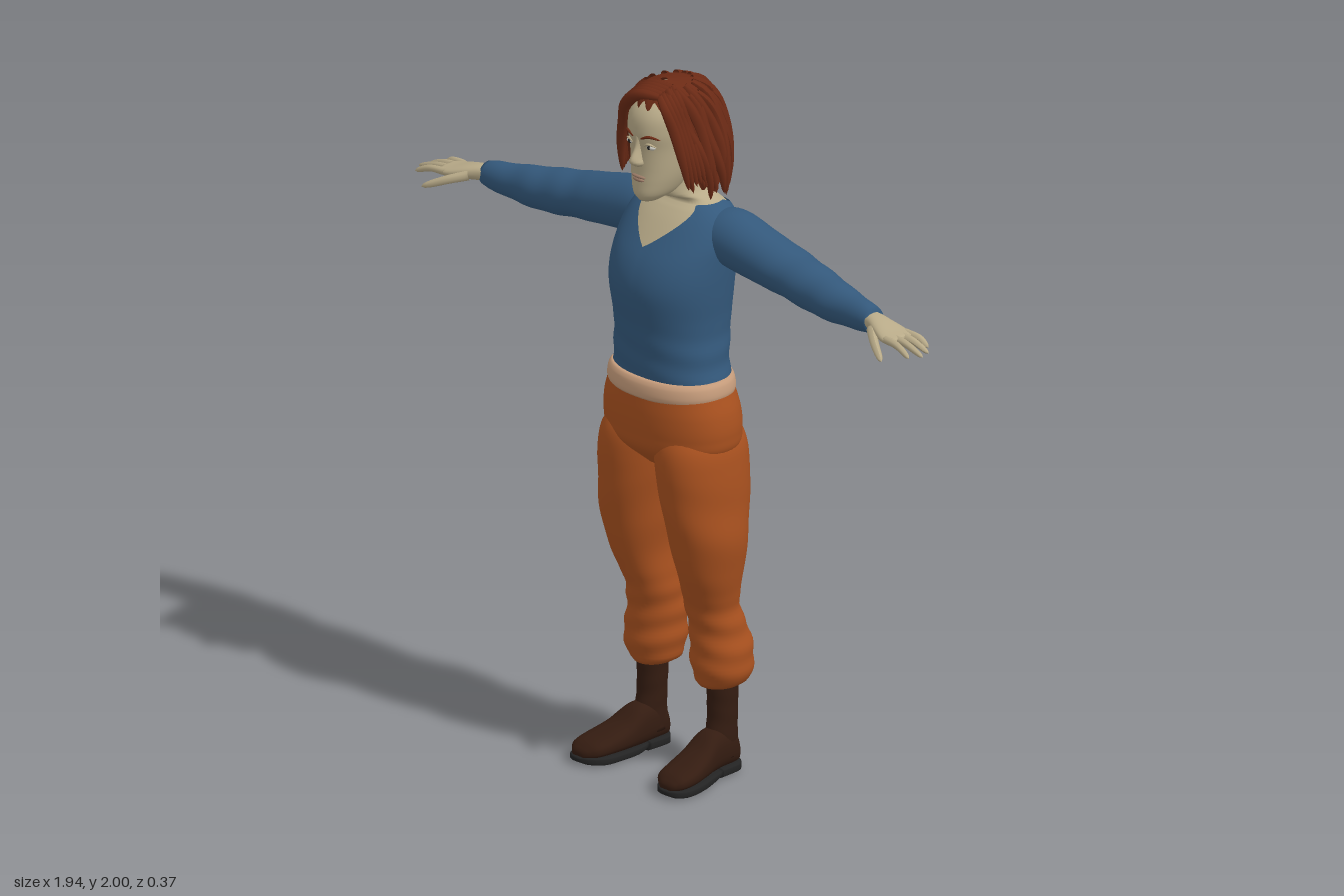
import * as THREE from 'three';

const lerp = THREE.MathUtils.lerp, smooth = THREE.MathUtils.smoothstep;
const mat = (color, side = THREE.FrontSide) => new THREE.MeshStandardMaterial({ color, side, roughness: 0.9 });

// Smoothly interpolated extents [a0, a1, b0, b1] of a list of sections [t, a0, a1, b0, b1]
function section(S, t) {
  let i = 0;
  while (i < S.length - 2 && t > S[i + 1][0]) i++;
  const h = S[i + 1][0] - S[i][0], u = THREE.MathUtils.clamp((t - S[i][0]) / h, 0, 1);
  const slope = (j, k) => {
    const p = S[Math.max(j - 1, 0)], q = S[Math.min(j + 1, S.length - 1)];
    return (q[k] - p[k]) / (q[0] - p[0]);
  };
  return [1, 2, 3, 4].map(k => {
    const u2 = u * u, u3 = u2 * u;
    return (2 * u3 - 3 * u2 + 1) * S[i][k] + (u3 - 2 * u2 + u) * h * slope(i, k)
      + (3 * u2 - 2 * u3) * S[i + 1][k] + (u3 - u2) * h * slope(i + 1, k);
  });
}

// Point on a lofted surface at angle a and height t
function onLoft(S, a, t, p = 1, m = 1) {
  const [a0, a1, b0, b1] = section(S, t), s = Math.sin(a), c = Math.cos(a);
  return [(a0 + a1) / 2 + m * (a1 - a0) / 2 * Math.sign(s) * Math.abs(s) ** p, t,
    (b0 + b1) / 2 + m * (b1 - b0) / 2 * Math.sign(c) * Math.abs(c) ** p];
}

// Loft along an axis: y sections give x,z extents; x sections give z,y; z sections give y,x
function loft(S, { axis = 'y', seg = 40, rows = 40, lo, hi, p = 1, mod = () => 1, cap = true } = {}) {
  const pos = [], idx = [], first = S[0][0], last = S[S.length - 1][0], e = cap ? 1 : 0;
  for (let i = -e; i <= rows + e; i++) for (let j = 0; j < seg; j++) {
    const a = j / seg * Math.PI * 2, v = THREE.MathUtils.clamp(i / rows, 0, 1);
    const t = lerp(lo ? lo(a) : first, hi ? hi(a) : last, v);
    const [A, T, B] = onLoft(S, a, t, p, i < 0 || i > rows ? 0 : mod(a, t));
    pos.push(...(axis === 'y' ? [A, T, B] : axis === 'x' ? [T, B, A] : [B, A, T]));
  }
  for (let i = 0; i < rows + 2 * e; i++) for (let j = 0; j < seg; j++) {
    const k = (j + 1) % seg, q = i * seg, r = q + seg;
    idx.push(q + j, q + k, r + k, q + j, r + k, r + j);
  }
  const g = new THREE.BufferGeometry();
  g.setAttribute('position', new THREE.Float32BufferAttribute(pos, 3));
  g.setIndex(idx);
  g.computeVertexNormals();
  return g;
}

// Tube whose radius follows a taper rule
function strand(pts, r, taper, n = 14) {
  const path = new THREE.CatmullRomCurve3(pts.map(q => new THREE.Vector3(...q)));
  const g = new THREE.TubeGeometry(path, n, r, 8), P = g.attributes.position, v = new THREE.Vector3();
  for (let i = 0; i < P.count; i++) {
    const u = Math.floor(i / 9) / n, c = path.getPointAt(u);
    v.fromBufferAttribute(P, i).sub(c).multiplyScalar(taper(u)).add(c);
    P.setXYZ(i, v.x, v.y, v.z);
  }
  g.computeVertexNormals();
  return g;
}
const fingerTaper = u => (1 - 0.3 * u) * Math.sqrt(Math.max(0, 1 - u ** 8));
const lockTaper = u => Math.sqrt(Math.max(0, Math.sin(Math.PI * Math.min(1, 0.08 + u * 0.92)))) * (1 - 0.2 * u);

function mirrored(geo) {
  const g = geo.clone().scale(-1, 1, 1), ix = g.index.array;
  for (let i = 0; i < ix.length; i += 3) [ix[i], ix[i + 1]] = [ix[i + 1], ix[i]];
  return g;
}

const torso = [[1.15, -.178, .178, -.133, .12], [1.2, -.17, .17, -.135, .125], [1.3, -.163, .163, -.15, .135],
  [1.4, -.172, .172, -.16, .15], [1.45, -.176, .176, -.163, .145], [1.5, -.178, .178, -.165, .125],
  [1.55, -.178, .178, -.163, .09], [1.6, -.165, .165, -.158, .05], [1.63, -.14, .14, -.147, .02], [1.648, -.1, .1, -.13, 0]];
const hairS = [[1.67, -.165, .142, -.162, .04], [1.73, -.165, .145, -.172, .065], [1.8, -.148, .136, -.175, .09],
  [1.88, -.118, .112, -.165, .115], [1.94, -.098, .096, -.135, .118], [1.975, -.07, .072, -.09, .1],
  [1.992, -.04, .045, -.04, .075], [1.997, -.008, .012, .015, .035]];

export function createModel() {
  const model = new THREE.Group();
  const skin = mat(0xb9ab89), cloth = mat(0x34597c, THREE.DoubleSide), trouser = mat(0xa9511f), boot = mat(0x341c11),
    black = mat(0x232323), hair = mat(0x6b2a15, THREE.DoubleSide), white = mat(0xc9c8c0), lip = mat(0x9a7a66), band = mat(0xc79d7c);
  const add = (name, geo, m, parent = model) => {
    const mesh = new THREE.Mesh(geo, m);
    mesh.name = name;
    parent.add(mesh);
    return mesh;
  };
  const pair = (name, geo, m) => { add(name + 'Left', geo, m); add(name + 'Right', mirrored(geo), m); };
  const ball = (x, y, z, rx, ry, rz) => new THREE.SphereGeometry(1, 18, 12).scale(rx, ry, rz).translate(x, y, z);

  // Sweater with a V neckline
  const neckline = a => Math.cos(a) > 0 ? 1.53 + .113 * Math.min(1, Math.abs(Math.sin(a)) / .72)
    : 1.643 - .022 * smooth(-Math.cos(a), .3, 1);
  add('sweater', loft(torso, { seg: 72, p: .9, hi: neckline, cap: false,
    mod: (a, y) => 1 + .012 * Math.sin(y * 75 + 3 * Math.sin(a)) * smooth(1.36 - y, 0, .15) }), cloth);
  add('sweaterHem', loft([[1.145, -.17, .17, -.127, .115], [1.158, -.176, .176, -.132, .119]], { rows: 2, p: .9 }), cloth);

  // Upper chest and neck
  const chest = torso.slice(4).map(([t, a, b, c, d]) => [t, a + .007, b - .007, c + .007, d - .007]);
  add('chestAndNeck', loft([...chest, [1.665, -.068, .068, -.105, .035], [1.7, -.058, .058, -.088, .045],
    [1.78, -.056, .056, -.085, .045]], { seg: 56, p: .92 }), skin);

  // Sleeves
  const sleeve = [[.08, -.15, 0, 1.5, 1.62], [.17, -.16, .005, 1.475, 1.634], [.28, -.153, .005, 1.463, 1.612],
    [.4, -.15, 0, 1.45, 1.583], [.5, -.135, 0, 1.438, 1.565], [.57, -.12, 0, 1.436, 1.553],
    [.65, -.1, -.005, 1.441, 1.539], [.72, -.082, -.005, 1.45, 1.53], [.745, -.073, -.008, 1.456, 1.524]];
  pair('sleeve', loft(sleeve, { axis: 'x', rows: 60,
    mod: (a, x) => 1 + .018 * Math.sin(x * 55 + 2 * Math.sin(a)) * smooth(x, .25, .45) }), cloth);

  // Hands: palm, four fingers and thumb
  pair('palm', loft([[.715, -.064, -.012, 1.468, 1.512], [.75, -.064, -.005, 1.47, 1.514], [.79, -.066, .012, 1.467, 1.508],
    [.84, -.07, .028, 1.464, 1.495], [.875, -.06, .022, 1.466, 1.488]], { axis: 'x', seg: 24, rows: 16, p: .85 }), skin);
  const fingers = [[-.058, .93, -.062], [-.034, .96, -.034], [-.009, .97, -.002], [.016, .95, .031]];
  for (const [z0, x1, z1] of fingers)
    pair('finger', strand([[.845, 1.48, z0], [.9, 1.477, (z0 + z1) / 2], [x1, 1.458, z1]], .0115, fingerTaper), skin);
  pair('thumb', strand([[.775, 1.485, 0], [.82, 1.47, .035], [.855, 1.455, .056], [.885, 1.442, .072]], .0145, fingerTaper), skin);

  // Waistband, hips and trouser legs gathered below the knee
  add('waistband', loft([[1.105, -.188, .188, -.143, .134], [1.12, -.192, .192, -.147, .137], [1.148, -.187, .187, -.143, .133],
    [1.16, -.178, .178, -.135, .124]], { seg: 56, rows: 10, p: .9 }), band);
  add('hips', loft([[.89, -.1, .1, -.1, .06], [.95, -.198, .198, -.147, .122], [1, -.213, .213, -.155, .133],
    [1.06, -.208, .208, -.153, .136], [1.115, -.19, .19, -.143, .133]], { seg: 56, p: .9 }), trouser);
  const leg = [[.255, .075, .18, -.128, -.005], [.27, .055, .2, -.143, .004], [.33, .044, .212, -.155, .015],
    [.4, .042, .2, -.148, .013], [.46, .04, .19, -.125, .02], [.5, .04, .188, -.118, .032], [.6, .045, .212, -.12, .07],
    [.7, .032, .227, -.13, .1], [.8, .018, .222, -.145, .117], [.9, .004, .217, -.152, .128], [.97, .002, .205, -.147, .122],
    [1.03, .03, .17, -.12, .09]];
  pair('trouserLeg', loft(leg, { rows: 70, p: .93,
    mod: (a, y) => 1 + .035 * Math.sin(y * 85 + 1.6 * Math.sin(a)) * smooth(.56 - y, 0, .12)
      + .012 * Math.sin(y * 34 + 2 * a) * smooth(y, .5, .6) * smooth(.9 - y, 0, .1) }), trouser);

  // Boots with sole and heel
  pair('bootShaft', loft([[.05, .095, .175, -.108, -.005], [.11, .096, .176, -.108, -.012], [.17, .094, .176, -.106, -.022],
    [.3, .09, .178, -.112, -.018]], { seg: 32, rows: 24, mod: (a, y) => 1 + .012 * Math.sin(y * 110 + a) }), boot);
  pair('bootFoot', loft([[-.108, .02, .085, .11, .16], [-.09, .02, .12, .1, .172], [-.04, .02, .135, .094, .18],
    [0, .018, .13, .092, .187], [.05, .018, .098, .093, .202], [.11, .018, .075, .1, .216], [.16, .018, .06, .115, .213],
    [.183, .022, .042, .145, .192]], { axis: 'z', seg: 32, p: .8 }), boot);
  pair('sole', loft([[-.02, .012, .026, .1, .184], [.02, .002, .026, .093, .195], [.08, 0, .026, .094, .214],
    [.14, 0, .026, .102, .221], [.175, .004, .026, .128, .208], [.188, .01, .024, .15, .19]], { axis: 'z', seg: 32, rows: 20, p: .45 }), black);
  pair('heel', loft([[-.114, 0, .028, .115, .157], [-.095, 0, .028, .098, .174], [-.02, 0, .028, .098, .18]],
    { axis: 'z', seg: 32, rows: 12, p: .45 }), black);

  // Head and face
  add('head', loft([[1.667, -.025, .025, .04, .11], [1.685, -.046, .046, -.01, .122], [1.72, -.064, .064, -.05, .122],
    [1.76, -.076, .076, -.08, .12], [1.82, -.085, .085, -.11, .121], [1.87, -.09, .09, -.12, .128], [1.92, -.086, .086, -.115, .118],
    [1.96, -.06, .06, -.08, .08], [1.975, -.03, .03, -.04, .04]], { p: .9 }), skin);
  add('nose', loft([[1.772, -.012, .012, .1, .132], [1.782, -.019, .019, .1, .147], [1.793, -.015, .015, .1, .151],
    [1.825, -.009, .009, .1, .134], [1.86, -.011, .011, .1, .127]], { seg: 20, rows: 16 }), skin);
  add('upperLip', ball(0, 1.74, .119, .026, .005, .008), lip);
  add('lowerLip', ball(0, 1.731, .119, .021, .006, .008), lip);
  pair('eye', ball(.037, 1.832, .109, .0165, .0075, .011), white);
  pair('iris', ball(.037, 1.832, .115, .0065, .0068, .006), black);
  pair('upperLid', strand([[.017, 1.831, .117], [.037, 1.842, .119], [.058, 1.834, .107]], .004, lockTaper), skin);
  pair('eyebrow', strand([[.014, 1.855, .125], [.04, 1.864, .12], [.066, 1.856, .101]], .0045, lockTaper), hair);

  // Hair: wavy cap open over the face, side parted
  const hem = a => {
    const d = Math.abs(Math.atan2(Math.sin(a - .1), Math.cos(a - .1)));
    return lerp(1.945, 1.7, smooth(d, .5, 1)) + .012 * Math.sin(a * 17);
  };
  add('hairCap', loft(hairS, { seg: 120, rows: 36, lo: hem, cap: false,
    mod: (a, y) => .95 + .025 * Math.sin(24 * a + 14 * y) * smooth(1.99 - y, 0, .1) }), hair);

  // Layered locks lying on the cap
  const locks = new THREE.Group();
  locks.name = 'hairLocks';
  model.add(locks);
  const count = 34;
  for (let i = 0; i < count; i++) {
    const a = lerp(.92, Math.PI * 2 - .8, i / (count - 1)), end = 1.685 + .022 * Math.sin(i * 2.4), pts = [];
    for (let k = 0; k <= 6; k++) {
      const y = lerp(1.985 - .02 * (i % 3), end, (k / 6) ** 1.3);
      pts.push(onLoft(hairS, a + .09 * Math.sin(k * .9 + i * 1.7), y, 1, .93 + .02 * (i % 2)));
    }
    add('lock', strand(pts, .018, lockTaper, 18), hair, locks);
  }
  // Fringe swept from the parting
  for (let i = 0; i < 5; i++) {
    const d = i * .012;
    add('fringe', strand([[.045, 1.972 + d * .3, .085 - d], [-.01, 1.972 + d * .3, .106 - d], [-.06, 1.935 + d * .4, .104 - d],
      [-.093, 1.87 + d * .3, .082 - d], [-.118 - d * .3, 1.79, .068 - d], [-.128 - d * .4, 1.7 + d * .4, .055 - d]], .02, lockTaper, 24), hair, locks);
    add('fringe', strand([[.04, 1.972 + d * .3, .08 - d], [.072, 1.945 + d * .4, .09 - d], [.093, 1.88, .075 - d],
      [.112 + d * .2, 1.79, .06 - d], [.118 + d * .3, 1.71 + d * .3, .045 - d]], .017, lockTaper, 24), hair, locks);
  }
  return model;
}
